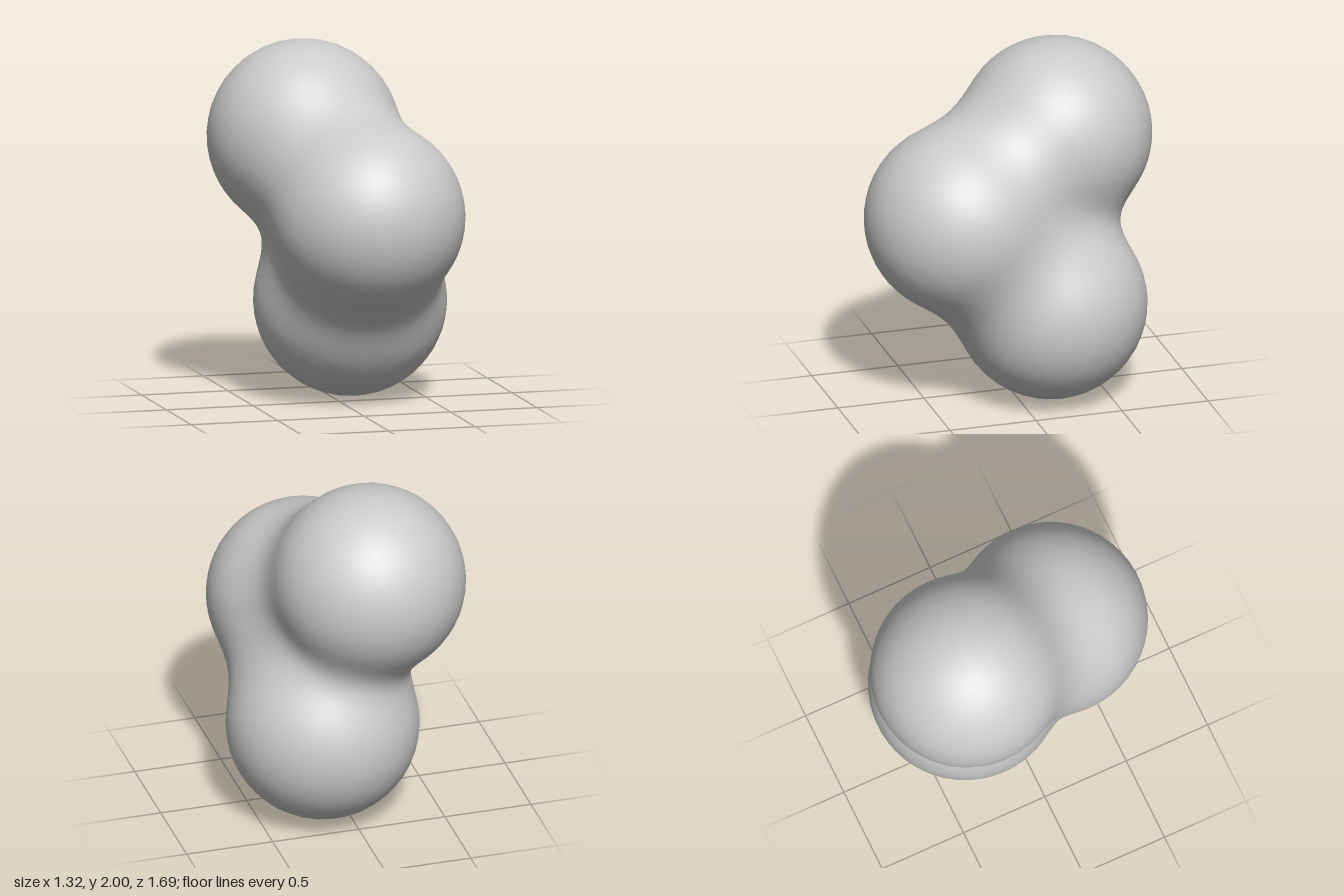
import * as THREE from 'three';
import { mergeVertices } from 'three/addons/utils/BufferGeometryUtils.js';

// Three equal balls that melt into one another
const RADIUS = 0.54;
const BLEND = 0.27;
const balls = [
  new THREE.Vector3(-0.12, 1.46, -0.3), // upper back
  new THREE.Vector3(0.08, 1.09, 0.31), // front
  new THREE.Vector3(0.12, 0.54, -0.2), // lower back
];
const core = new THREE.Vector3(0.04, 1.02, -0.06); // lies inside every ball

// Smooth union of two distances
function smoothMin(a, b) {
  const h = Math.max(BLEND - Math.abs(a - b), 0) / BLEND;
  return Math.min(a, b) - h * h * BLEND / 4;
}

const distance = (p) => balls.map((c) => p.distanceTo(c) - RADIUS).reduce(smoothMin);

// Push each vertex of a fine icosphere out from the core until it meets the surface
function blobGeometry() {
  let geometry = new THREE.IcosahedronGeometry(1, 14);
  geometry.deleteAttribute('uv');
  geometry.deleteAttribute('normal');
  geometry = mergeVertices(geometry, 1e-4);
  const position = geometry.attributes.position;
  const dir = new THREE.Vector3();
  const p = new THREE.Vector3();
  for (let i = 0; i < position.count; i++) {
    dir.fromBufferAttribute(position, i).normalize();
    let inside = 0;
    let outside = 2;
    for (let step = 0; step < 30; step++) {
      const mid = (inside + outside) / 2;
      p.copy(core).addScaledVector(dir, mid);
      if (distance(p) < 0) inside = mid;
      else outside = mid;
    }
    position.setXYZ(i, p.x, p.y, p.z);
  }
  geometry.computeVertexNormals();
  return geometry;
}

export function createModel() {
  const model = new THREE.Group();
  const blob = new THREE.Mesh(blobGeometry(), new THREE.MeshStandardMaterial({ color: 0xcccccc }));
  blob.name = 'mergedBalls';
  model.add(blob);
  return model;
}
